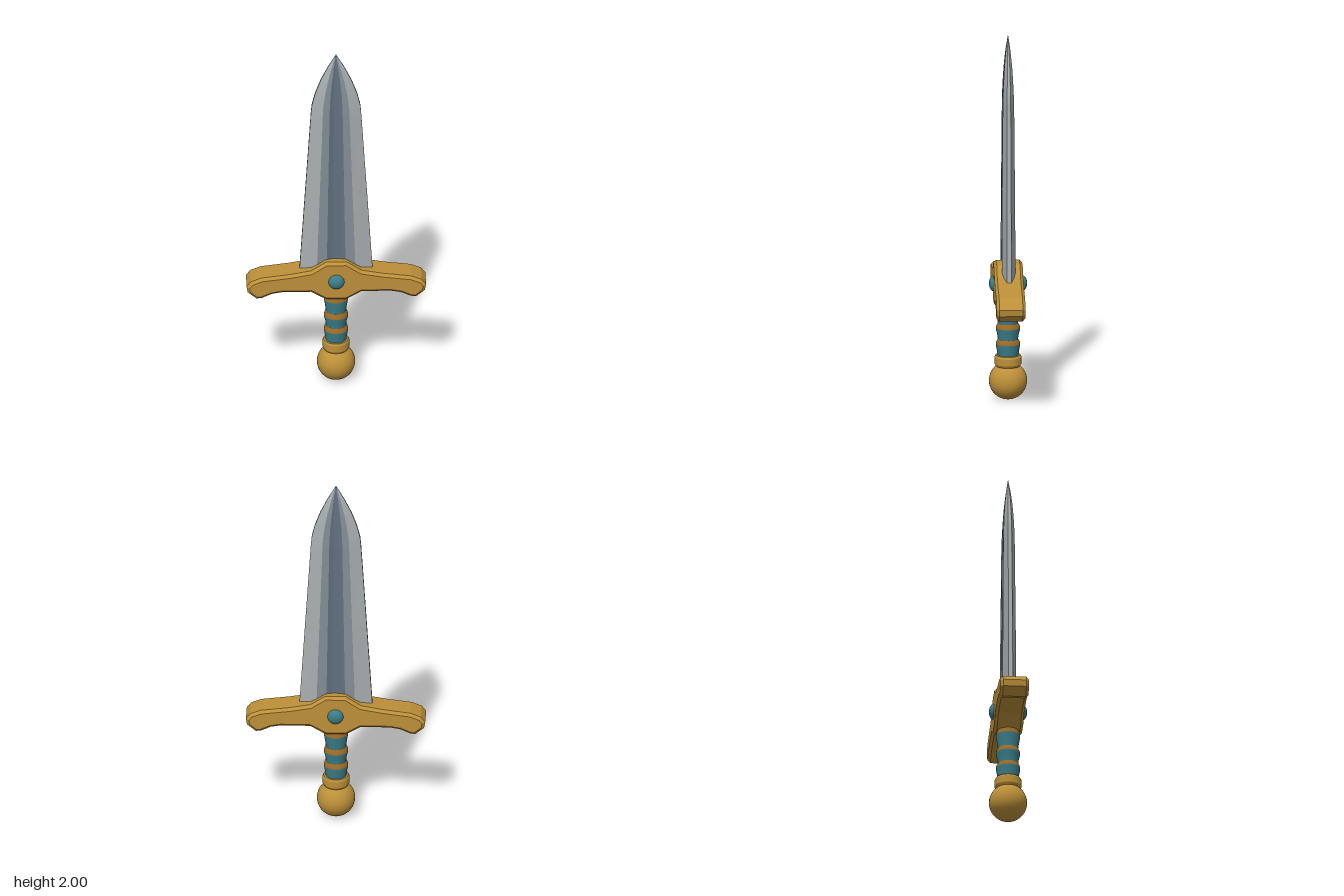
import * as THREE from 'three';

const mat = (name, color) => {
  const m = new THREE.MeshStandardMaterial({ color });
  m.name = name;
  return m;
};

export function createModel() {
  const root = new THREE.Group();
  root.name = 'dagger';
  const gold = mat('gold', 0xbd9039);
  const teal = mat('teal', 0x3c7f89);
  const bronze = mat('bronze', 0x9c6a24);
  const steel = [mat('lightSteel', 0xa9aeb0), mat('midSteel', 0x848d96), mat('darkSteel', 0x627080)];

  const add = (name, geometry, material, x = 0, y = 0, z = 0) => {
    const mesh = new THREE.Mesh(geometry, material);
    mesh.name = name;
    mesh.position.set(x, y, z);
    root.add(mesh);
    return mesh;
  };

  // Blade: loops of [height, half width, half thickness], with bevels and a fuller
  const stations = [
    [0.64, 0.197, 0.037], [1.15, 0.165, 0.034], [1.64, 0.134, 0.03], [1.69, 0.129, 0.028],
    [1.76, 0.112, 0.025], [1.84, 0.083, 0.02], [1.92, 0.045, 0.012], [2, 0.0005, 0.0005],
  ];
  const half = [[1, 0.32], [0.53, 1], [0.26, 0.96], [0.1, 0.72]];
  const front = [...half, ...half.slice().reverse().map(([x, z]) => [-x, z])];
  const section = [...front, ...front.map(([x, z]) => [-x, -z])];
  const bandOf = [0, 1, 2, 2, 2, 1, 0, 0];
  const bands = [[], [], []];
  const at = ([y, w, t], j) => {
    const [x, z] = section[j % section.length];
    return [x * w, y, z * t];
  };
  for (let i = 0; i < stations.length - 1; i++) {
    for (let j = 0; j < section.length; j++) {
      const a = at(stations[i], j), b = at(stations[i], j + 1);
      const c = at(stations[i + 1], j), d = at(stations[i + 1], j + 1);
      bands[bandOf[j % 8]].push(...b, ...a, ...c, ...b, ...c, ...d);
    }
  }
  ['bladeEdges', 'bladeFlats', 'bladeFuller'].forEach((name, k) => {
    const g = new THREE.BufferGeometry();
    g.setAttribute('position', new THREE.Float32BufferAttribute(bands[k], 3));
    g.computeVertexNormals();
    add(name, g, steel[k]);
  });

  // Crossguard: mirrored outline, extruded with a chamfer
  const right = [
    [0.055, 0.75], [0.135, 0.697], [0.25, 0.676], [0.4, 0.657], [0.455, 0.635], [0.478, 0.605],
    [0.472, 0.57], [0.425, 0.531], [0.395, 0.535], [0.345, 0.558], [0.29, 0.568],
    [0.135, 0.568], [0.055, 0.521],
  ];
  const outline = [...right, ...right.slice().reverse().map(([x, y]) => [-x, y])];
  const shape = new THREE.Shape(outline.map(([x, y]) => new THREE.Vector2(x, y)));
  const guard = new THREE.ExtrudeGeometry(shape, {
    depth: 0.124, bevelEnabled: true, bevelThickness: 0.015, bevelSize: 0.015,
    bevelOffset: -0.015, bevelSegments: 1,
  });
  add('crossguard', guard, gold, 0, 0, -0.062);

  // Gems on both faces of the guard
  for (const s of [1, -1]) {
    const gem = add(s > 0 ? 'frontGem' : 'backGem', new THREE.SphereGeometry(0.043, 24, 16), teal, 0, 0.635, s * 0.074);
    gem.scale.z = 0.65;
  }

  // Grip: flaring wraps, each topped by a sloping bronze band
  const lathe = (pts) => new THREE.LatheGeometry(pts.map(([r, y]) => new THREE.Vector2(r, y)), 24);
  const wraps = [[0.23, 0.305, 0.33], [0.33, 0.392, 0.418], [0.418, 0.495, 0.535]];
  wraps.forEach(([y0, y1, y2], i) => {
    add('gripWrap' + i, lathe([[0.054, y0], [0.058, y0 + 0.03], [0.064, y1 - 0.012], [0.065, y1]]), teal);
    add('gripBand' + i, lathe([[0.065, y1], [0.062, y1 + 0.012], [0.054, y2]]), bronze);
  });

  // Collar and round pommel
  const collar = [[0.05, 0.175], [0.064, 0.182], [0.072, 0.195], [0.072, 0.232], [0.066, 0.243], [0, 0.243]];
  for (let i = 0; i < collar.length - 1; i++) {
    add('collar' + i, lathe([collar[i], collar[i + 1]]), gold);
  }
  add('pommel', new THREE.SphereGeometry(0.102, 32, 20), gold, 0, 0.103, 0);

  // Rest on the ground exactly
  root.children.forEach((m) => { if (m.name === 'pommel') m.position.y = 0.102; });
  return root;
}
